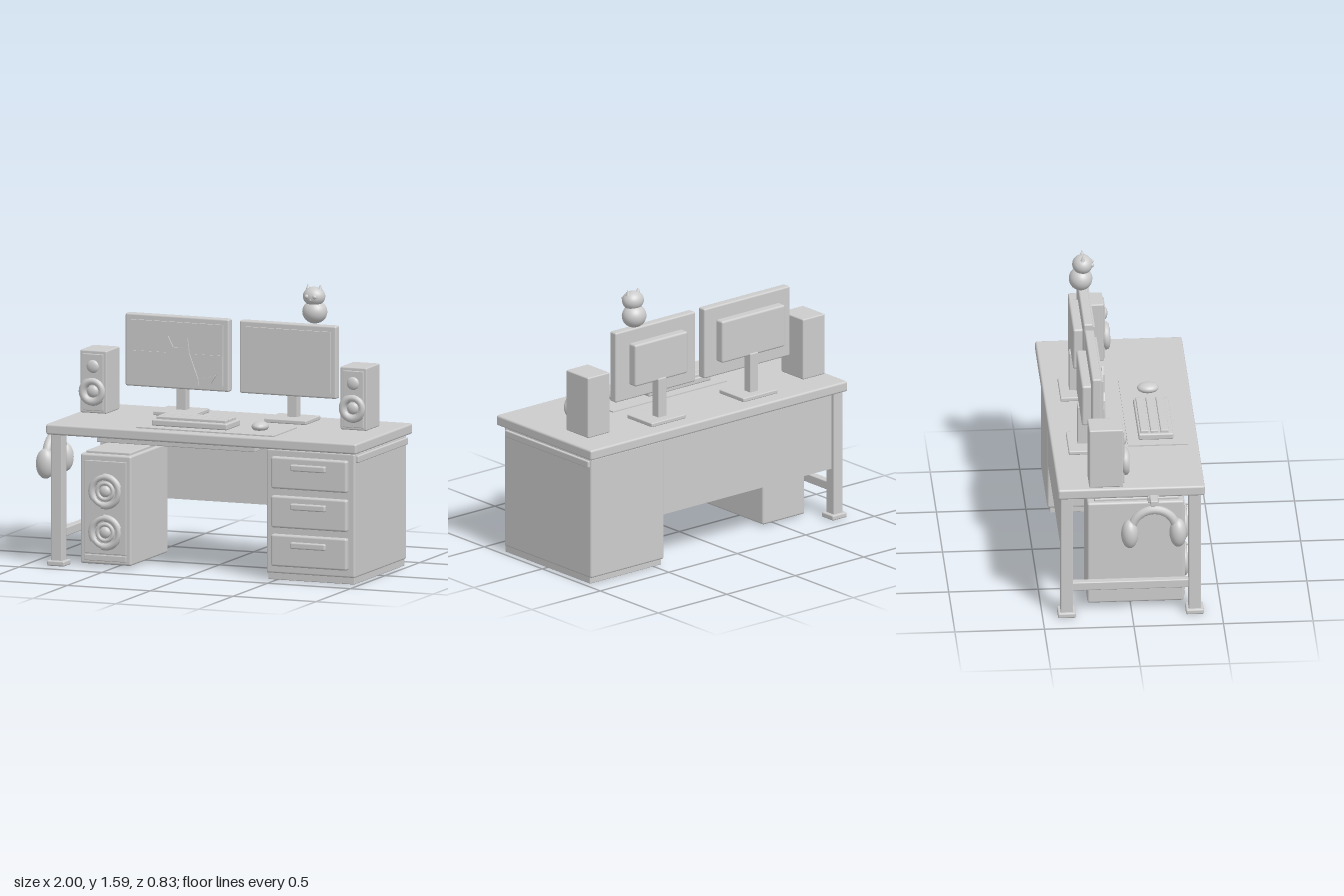
import * as THREE from 'three';
import { RoundedBoxGeometry } from 'three/addons/geometries/RoundedBoxGeometry.js';

export function createModel() {
  const root = new THREE.Group();
  root.name = 'computerDesk';
  const grey = new THREE.MeshStandardMaterial({ color: 0xcccccc });
  grey.name = 'plain grey';

  const add = (name, geo, x = 0, y = 0, z = 0, parent = root) => {
    const m = new THREE.Mesh(geo, grey);
    m.name = name;
    m.position.set(x, y, z);
    parent.add(m);
    return m;
  };
  // Box given by its limits on each axis, with softly rounded edges
  const box = (name, [x0, x1], [y0, y1], [z0, z1], r = 0.008, parent = root) => {
    const w = x1 - x0, h = y1 - y0, d = z1 - z0;
    const geo = r > 0
      ? new RoundedBoxGeometry(w, h, d, 2, Math.min(r, w * 0.45, h * 0.45, d * 0.45))
      : new THREE.BoxGeometry(w, h, d);
    return add(name, geo, (x0 + x1) / 2, (y0 + y1) / 2, (z0 + z1) / 2, parent);
  };
  const ball = (name, x, y, z, rx, ry, rz, parent = root) => {
    const m = add(name, new THREE.SphereGeometry(1, 28, 18), x, y, z, parent);
    m.scale.set(rx, ry, rz);
    return m;
  };
  const ring = (name, R, t, x, y, z, parent, arc = Math.PI * 2) =>
    add(name, new THREE.TorusGeometry(R, t, 10, 36, arc), x, y, z, parent);

  // Desk top, back panel and shallow tray
  box('deskTop', [-0.88, 0.995], [0.74, 0.8], [-0.415, 0.405], 0.012);
  box('backPanel', [-0.8, 0.44], [0.295, 0.74], [-0.38, -0.355], 0);
  box('underTray', [-0.59, 0.365], [0.71, 0.742], [0.1, 0.36], 0.004);

  // Left legs, feet and rail
  for (const z of [0.35, -0.365]) {
    box('leg', [-0.857, -0.79], [0.02, 0.745], [z - 0.034, z + 0.034], 0.006);
    box('foot', [-0.875, -0.77], [0, 0.03], [z - 0.05, z + 0.05], 0.008);
  }
  box('sideRail', [-0.845, -0.8], [0.155, 0.205], [-0.35, 0.34], 0.006);

  // Drawer cabinet
  box('cabinet', [0.435, 0.97], [0.035, 0.738], [-0.385, 0.365], 0.012);
  box('plinth', [0.445, 0.965], [0, 0.045], [-0.37, 0.36], 0.004);
  box('cabinetSideStrip', [0.96, 0.985], [0.685, 0.725], [-0.375, 0.345], 0.006);
  for (const y of [0.608, 0.388, 0.17]) {
    box('drawer', [0.475, 0.933], [y - 0.09, y + 0.09], [0.355, 0.398], 0.012);
    box('drawerHandle', [0.6, 0.81], [y + 0.018, y + 0.054], [0.39, 0.42], 0.008);
  }

  // Computer tower with two fans
  box('tower', [-0.715, -0.408], [0.01, 0.63], [-0.24, 0.3], 0.012);
  box('towerLid', [-0.69, -0.425], [0.62, 0.645], [-0.2, 0.27], 0.006);
  box('towerFront', [-0.687, -0.435], [0.07, 0.595], [0.29, 0.307], 0.004);
  box('towerFrontStrip', [-0.687, -0.435], [0.03, 0.064], [0.29, 0.307], 0.004);
  for (const y of [0.425, 0.193]) {
    const fan = new THREE.Group();
    fan.name = 'fan';
    fan.position.set(-0.56, y, 0.31);
    root.add(fan);
    ring('fanRing', 0.08, 0.015, 0, 0, 0, fan);
    for (let i = 0; i < 3; i++) {
      ring('fanArc', 0.081, 0.02, 0, 0, 0, fan, 1.35).rotation.z = 0.3 + i * 2.094;
    }
    ring('fanInnerRing', 0.046, 0.011, 0, 0, 0, fan);
    ball('fanHub', 0, 0, 0, 0.032, 0.032, 0.02, fan);
  }

  // Speakers
  for (const x of [-0.781, 0.789]) {
    const s = new THREE.Group();
    s.name = 'speaker';
    s.position.x = x;
    root.add(s);
    box('speakerCase', [-0.08, 0.08], [0.8, 1.155], [-0.24, -0.05], 0.008, s);
    box('speakerFront', [-0.062, 0.062], [0.815, 1.135], [-0.06, -0.042], 0.004, s);
    ring('wooferRing', 0.058, 0.019, 0, 0.925, -0.035, s);
    ring('wooferArc', 0.058, 0.023, 0, 0.925, -0.035, s, 3.6).rotation.z = 2;
    ball('wooferCone', 0, 0.925, -0.042, 0.034, 0.034, 0.02, s);
    ball('tweeter', 0, 1.065, -0.043, 0.037, 0.037, 0.018, s);
  }

  // Monitors: panel, screen, rear housing, neck and base
  const monitor = (name, x0, x1, housing, cx) => {
    const g = new THREE.Group();
    g.name = name;
    root.add(g);
    box('frame', [x0, x1], [0.95, 1.36], [-0.208, -0.155], 0.01, g);
    box('screen', [x0 + 0.032, x1 - 0.032], [0.982, 1.328], [-0.16, -0.143], 0, g);
    box('rearHousing', housing, [1.035, 1.28], [-0.26, -0.2], 0.012, g);
    box('neck', [cx - 0.03, cx + 0.03], [0.81, 1.05], [-0.27, -0.215], 0.005, g);
    box('base', [cx - 0.126, cx + 0.126], [0.8, 0.824], [-0.325, -0.112], 0.006, g);
    return g;
  };
  const left = monitor('leftMonitor', -0.633, -0.008, [-0.555, -0.095], -0.32);
  monitor('rightMonitor', 0.056, 0.64, [0.155, 0.54], 0.35);

  // Picture on the screen: low band, cat outline and tail
  box('pictureBand', [-0.6, -0.041], [0.982, 1.155], [-0.144, -0.138], 0, left);
  const plate = (name, pts) => add(name, new THREE.ExtrudeGeometry(
    new THREE.Shape(pts.map(p => new THREE.Vector2(...p))),
    { depth: 0.009, bevelEnabled: false }), 0, 0, -0.128, left);
  plate('pictureCat', [[-0.42, 0.98], [-0.175, 0.98], [-0.18, 1.02], [-0.21, 1.1], [-0.232, 1.16],
    [-0.243, 1.25], [-0.275, 1.19], [-0.33, 1.19], [-0.36, 1.25], [-0.375, 1.15], [-0.4, 1.11], [-0.415, 1.04]]);
  plate('pictureTail', [[-0.17, 0.985], [-0.15, 0.978], [-0.1, 1.0], [-0.07, 1.045], [-0.15, 1.025]]);

  // Cat figurine sitting on the right monitor
  const cat = new THREE.Group();
  cat.name = 'catFigurine';
  cat.position.set(0.495, 0, -0.19);
  root.add(cat);
  ball('catBody', 0, 1.43, -0.005, 0.071, 0.066, 0.066, cat);
  ball('catHead', 0, 1.518, 0.005, 0.064, 0.054, 0.057, cat);
  for (const s of [-1, 1]) {
    const ear = add('catEar', new THREE.ConeGeometry(0.022, 0.05, 16), s * 0.036, 1.563, 0.005, cat);
    ear.rotation.z = -s * 0.12;
    ball('catEye', s * 0.024, 1.522, 0.058, 0.012, 0.012, 0.01, cat);
  }
  ball('catNose', 0, 1.503, 0.06, 0.006, 0.005, 0.005, cat);

  // Desk mat, keyboard and mouse
  box('deskMat', [-0.36, 0.473], [0.798, 0.807], [0.012, 0.345], 0);
  box('keyboard', [-0.297, 0.158], [0.806, 0.842], [0.075, 0.27], 0.008);
  for (let i = 0; i < 3; i++) {
    const z = 0.087 + i * 0.056;
    box('keyRow', [-0.28, 0.14], [0.835, 0.858], [z, z + 0.045], 0.005);
  }
  ball('mouse', 0.318, 0.826, 0.168, 0.047, 0.028, 0.06);

  // Headphones hanging from a bracket on the left end
  box('headphoneHook', [-0.96, -0.87], [0.722, 0.755], [0.095, 0.138], 0.006);
  box('hookPlate', [-0.9, -0.86], [0.715, 0.75], [0.085, 0.148], 0.004);
  const phones = new THREE.Group();
  phones.name = 'headphones';
  phones.position.set(-0.945, 0.57, 0.115);
  root.add(phones);
  ring('headband', 0.125, 0.025, 0, 0, 0, phones, Math.PI).rotation.y = Math.PI / 2;
  for (const s of [-1, 1]) ball('earCup', 0, -0.02, s * 0.135, 0.055, 0.085, 0.048, phones);

  return root;
}
